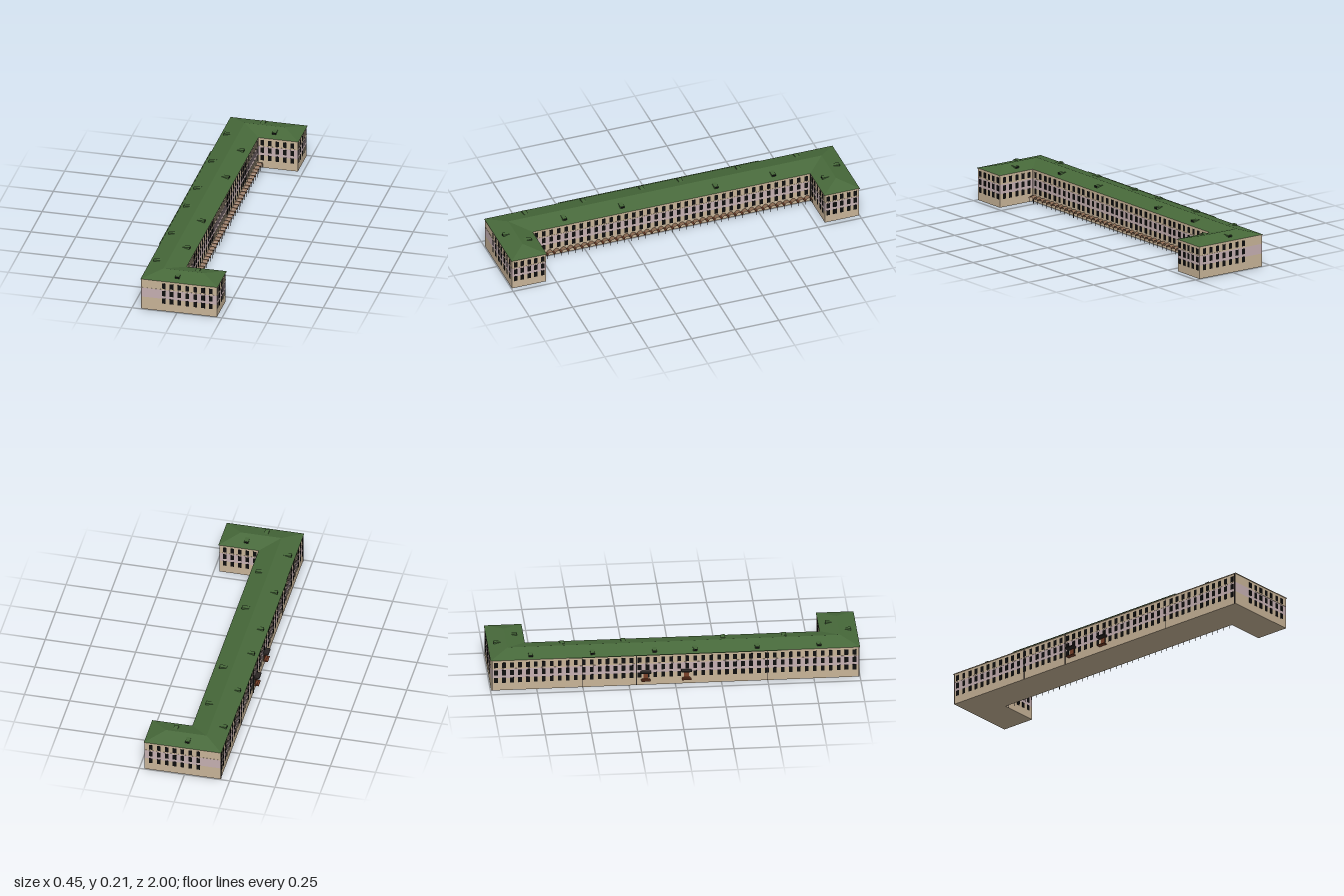
import * as THREE from 'three';
import { mergeGeometries } from 'three/addons/utils/BufferGeometryUtils.js';

const mat = (color, side = THREE.FrontSide) => new THREE.MeshStandardMaterial({ color, side, flatShading: true });
const beige = mat(0xc8b498), pink = mat(0xc6b0b2), green = mat(0x47693a), black = mat(0x0d0d0d);
const dark = mat(0x2b2725), brown = mat(0x7a4028), tan = mat(0x8a6a52, THREE.DoubleSide);

// C-shaped plan: long range on -x, a wing at each end, grown outwards by g
const plan = (g) => [
  [-0.199 - g, -0.996 - g], [0.221 + g, -0.996 - g], [0.221 + g, -0.801 + g], [-0.001 + g, -0.801 + g],
  [-0.001 + g, 0.801 - g], [0.221 + g, 0.801 - g], [0.221 + g, 0.996 + g], [-0.199 - g, 0.996 + g],
];

function slab(g, y0, y1) {
  const shape = new THREE.Shape(plan(g).map(([x, z]) => new THREE.Vector2(x, z)));
  const geo = new THREE.ExtrudeGeometry(shape, { depth: y1 - y0, bevelEnabled: false });
  return geo.rotateX(-Math.PI / 2).translate(0, y0, 0);
}

const box = (w, h, d, x, y, z) => new THREE.BoxGeometry(w, h, d).translate(x, y, z);

// Hipped roof over the C plan, each slope turned to face upwards
function hipRoof(y0, y1) {
  const e = plan(0.004).map(([x, z]) => new THREE.Vector3(x, y0, z));
  const r = [[0.125, -0.9], [-0.1, -0.9], [-0.1, 0.9], [0.125, 0.9]].map(([x, z]) => new THREE.Vector3(x, y1, z));
  const slopes = [
    [e[7], e[0], r[1], r[2]], [e[0], e[1], r[0], r[1]], [e[1], e[2], r[0]], [e[2], e[3], r[1], r[0]],
    [e[3], e[4], r[2], r[1]], [e[4], e[5], r[3], r[2]], [e[5], e[6], r[3]], [e[6], e[7], r[2], r[3]],
  ];
  const pts = [];
  for (const s of slopes) {
    const n = s[1].clone().sub(s[0]).cross(s[2].clone().sub(s[0]));
    if (n.y < 0) s.reverse();
    pts.push(s[0], s[1], s[2]);
    if (s.length === 4) pts.push(s[0], s[2], s[3]);
  }
  const geo = new THREE.BufferGeometry().setFromPoints(pts);
  geo.computeVertexNormals();
  return geo;
}

export function createModel() {
  const group = new THREE.Group();
  const add = (name, geo, material) => {
    const mesh = new THREE.Mesh(Array.isArray(geo) ? mergeGeometries(geo) : geo, material);
    mesh.name = name;
    group.add(mesh);
  };

  // Walls in coloured storeys, thin string course, eaves and roof
  add('lowerWalls', slab(0, 0, 0.073), beige);
  add('middleWalls', slab(0, 0.073, 0.128), pink);
  add('upperWalls', slab(0, 0.128, 0.178), beige);
  add('stringCourse', slab(0.001, 0.1275, 0.1295), beige);
  add('eaves', slab(0.004, 0.177, 0.18), beige);
  add('roof', hipRoof(0.18, 0.207), green);
  add('rearGutter', box(0.004, 0.003, 1.15, -0.205, 0.18, 0), green);

  // Windows: three rows on every wall
  const windows = [];
  const rows = [0.06, 0.105, 0.15];
  const alongZ = (x, z0, z1, n) => {
    for (let i = 0; i < n; i++)
      for (const y of rows) windows.push(box(0.002, 0.031, 0.02, x, y, z0 + ((z1 - z0) * i) / (n - 1)));
  };
  const alongX = (z, x0, x1, n) => {
    for (let i = 0; i < n; i++)
      for (const y of rows) windows.push(box(0.02, 0.031, 0.002, x0 + ((x1 - x0) * i) / (n - 1), y, z));
  };
  alongZ(-0.199, -0.97, 0.97, 46);
  alongZ(-0.001, -0.776, 0.776, 37);
  for (const s of [-1, 1]) {
    alongX(s * 0.996, -0.075, 0.187, 7);
    alongX(s * 0.801, 0.024, 0.19, 5);
    alongZ(0.221, s * 0.82, s * 0.976, 5);
  }
  add('windows', windows, black);

  // Small roof dormers: [x, z, heading of the dark face]
  const spots = [];
  for (const z of [0.11, 0.445, 0.78]) spots.push([-0.183, z, -Math.PI / 2], [-0.183, -z, -Math.PI / 2]);
  for (const z of [0.27, 0.6]) spots.push([-0.028, z, Math.PI / 2], [-0.028, -z, Math.PI / 2]);
  for (const s of [-1, 1]) {
    const out = s > 0 ? 0 : Math.PI;
    spots.push([-0.008, s * 0.966, out], [0.08, s * 0.835, Math.PI - out]);
  }
  const hoods = [], louvres = [];
  for (const [x, z, a] of spots) {
    const y = Math.abs(x + 0.183) < 0.001 ? 0.19 : 0.194;
    const place = (geo) => geo.rotateY(a).translate(x, y, z);
    hoods.push(place(box(0.024, 0.012, 0.04, 0, 0, -0.02)));
    louvres.push(place(box(0.02, 0.009, 0.002, 0, 0, 0)));
  }
  add('dormers', hoods, green);
  add('dormerLouvres', louvres, black);

  // Courtyard arcade: row of small arched hoods on thin posts
  const hoodsLow = [], posts = [], ribs = [];
  const bays = 40, pitch = 1.6 / bays;
  for (let i = 0; i <= bays; i++) {
    const z = -0.8 + i * pitch;
    posts.push(box(0.002, 0.024, 0.002, 0.025, 0.012, z));
    ribs.push(box(0.028, 0.003, 0.008, 0.013, 0.0235, z));
    if (i === bays) break;
    const arch = new THREE.CylinderGeometry(0.016, 0.016, 0.028, 8, 1, true, 0, Math.PI);
    hoodsLow.push(arch.rotateZ(Math.PI / 2).rotateX(0).translate(0.013, 0.022, z + pitch / 2));
  }
  // Turn each hood so that its opening faces down
  hoodsLow.forEach((geo) => {
    const p = geo.attributes.position;
    geo.computeBoundingBox();
    const c = geo.boundingBox.getCenter(new THREE.Vector3());
    const flat = geo.boundingBox.max.z - geo.boundingBox.min.z < 0.02;
    if (flat) geo.translate(0, -c.y, -c.z).rotateX(Math.PI / 2).translate(0, 0.03, c.z);
    for (let i = 0; i < p.count; i++) p.setY(i, Math.max(p.getY(i), 0.022));
  });
  add('arcadeHoods', hoodsLow, tan);
  add('arcadeRibs', ribs, brown);
  add('arcadePosts', posts, dark);

  // Rear entrances: door, landing with bracket, and sloping canopy
  const doors = [], landings = [], canopies = [];
  const wedge = new THREE.Shape();
  wedge.moveTo(0, 0.073).lineTo(0, 0.085).lineTo(-0.028, 0.085).lineTo(-0.028, 0.079).closePath();
  for (const z of [-0.16, 0.06]) {
    doors.push(box(0.004, 0.04, 0.026, -0.2, 0.054, z));
    landings.push(box(0.024, 0.004, 0.05, -0.211, 0.032, z), box(0.014, 0.004, 0.04, -0.206, 0.036, z));
    canopies.push(new THREE.ExtrudeGeometry(wedge, { depth: 0.056, bevelEnabled: false }).translate(-0.199, 0, z - 0.028));
  }
  add('rearDoors', doors, brown);
  add('rearLandings', landings, brown);
  add('rearCanopies', canopies, dark);

  // Downpipes on the rear wall and in the courtyard corners
  const pipes = [];
  for (const z of [-0.99, -0.5, -0.21, 0.5, 0.99]) pipes.push(box(0.003, 0.178, 0.003, -0.2, 0.089, z));
  for (const z of [-0.799, 0.799]) pipes.push(box(0.003, 0.178, 0.003, 0.001, 0.089, z));
  add('downpipes', pipes, dark);
  return group;
}
